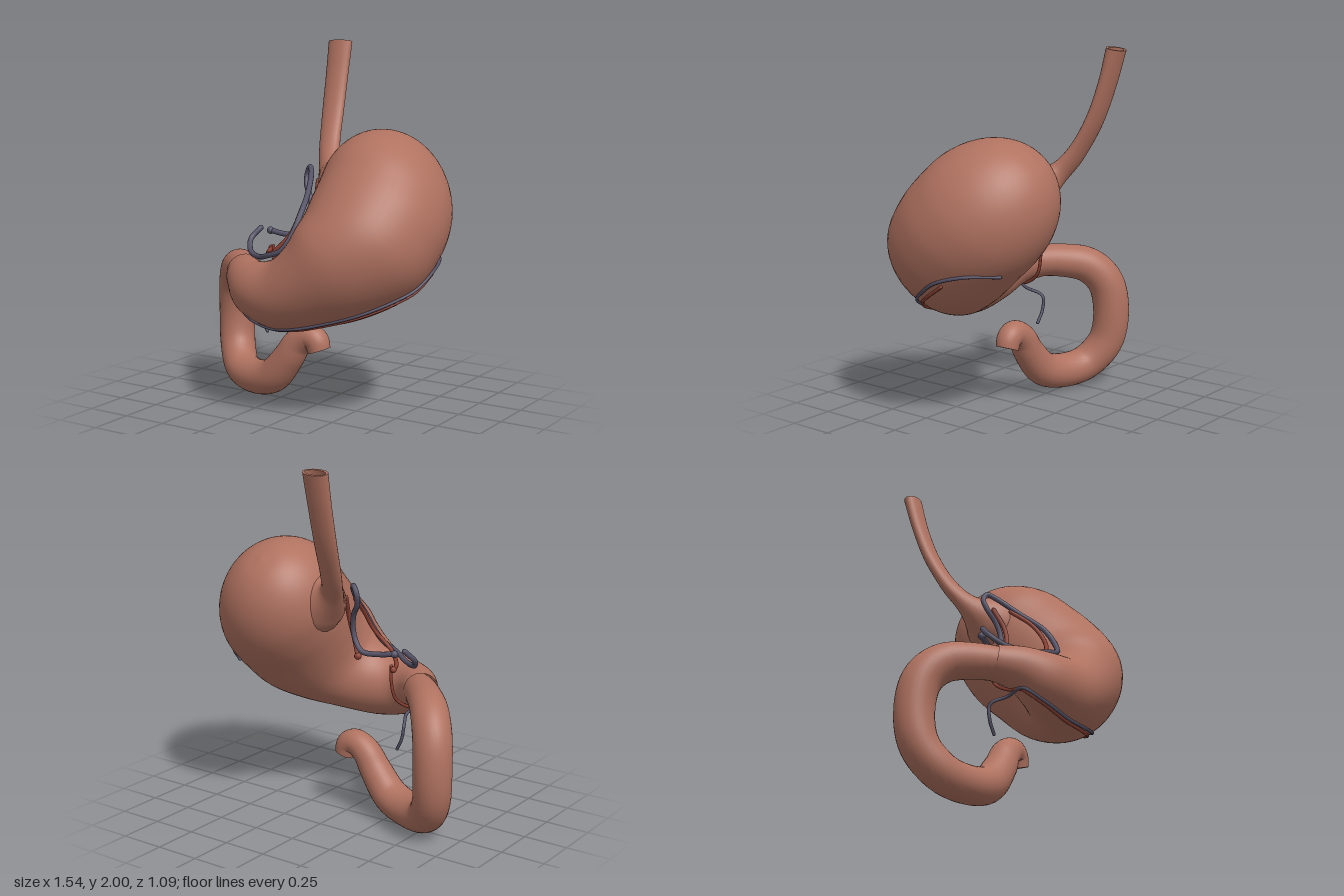
import * as THREE from 'three';

const V = (x, y, z) => new THREE.Vector3(x, y, z);
const curve = pts => new THREE.CatmullRomCurve3(pts, false, 'catmullrom', 0.5);

// Tube with elliptical sections square to its path: rows are [x, y, z, radiusA, radiusB]
function makeLoft(rows) {
  const path = curve(rows.map(r => V(r[0], r[1], r[2])));
  const radii = curve(rows.map(r => V(r[3], r[4] ?? r[3], 0)));
  const last = rows.length - 1, N = V(0, 0, 1);
  const at = (u, phi, grow = 0) => {
    const t = u / last, T = path.getTangent(t), r = radii.getPoint(t);
    const b = N.clone().addScaledVector(T, -N.dot(T)).normalize();
    const a = b.clone().cross(T);
    return path.getPoint(t)
      .addScaledVector(a, Math.cos(phi) * (r.x + grow))
      .addScaledVector(b, Math.sin(phi) * (r.y + grow));
  };
  return { at, last };
}

// Fan of sections between the lesser and greater curvature of a tilted body:
// rows are [lesserX, lesserS, greaterX, greaterS, n, halfThickness, tilt]
function makeFan(rows) {
  const tilted = (x, s, n) => V(x, 0.64 * n - 0.77 * s, 0.64 * s + 0.77 * n);
  const centre = curve(rows.map(([lx, ls, gx, gs, n]) => tilted((lx + gx) / 2, (ls + gs) / 2, n)));
  const A = curve(rows.map(([lx, ls, gx, gs]) => tilted((gx - lx) / 2, (gs - ls) / 2, 0)));
  const B = curve(rows.map(([, , , , , rb, k = 0]) => tilted(-0.8 * k * rb, -0.6 * k * rb, rb)));
  const last = rows.length - 1;
  const at = (u, phi, grow = 0) => {
    const t = u / last;
    return centre.getPoint(t)
      .addScaledVector(A.getPoint(t), Math.cos(phi) * (1 + grow))
      .addScaledVector(B.getPoint(t), Math.sin(phi) * (1 + grow));
  };
  return { at, last };
}

function loftGeometry(loft, sides, stepsPerRow) {
  const rings = loft.last * stepsPerRow, pos = [], idx = [];
  for (let i = 0; i <= rings; i++) {
    for (let j = 0; j < sides; j++) pos.push(...loft.at(i / stepsPerRow, j / sides * Math.PI * 2).toArray());
  }
  for (let i = 0; i < rings; i++) {
    for (let j = 0; j < sides; j++) {
      const k = (j + 1) % sides, a = i * sides + j, b = i * sides + k;
      idx.push(a, b, b + sides, a, b + sides, a + sides);
    }
  }
  const g = new THREE.BufferGeometry();
  g.setAttribute('position', new THREE.Float32BufferAttribute(pos, 3));
  g.setIndex(idx);
  g.computeVertexNormals();
  return g;
}

export function createModel() {
  const model = new THREE.Group();
  const mat = (name, color, side = THREE.FrontSide) => {
    const m = new THREE.MeshStandardMaterial({ color, side });
    m.name = name;
    return m;
  };
  const tissue = mat('tissue', 0xb07260, THREE.DoubleSide);
  const veinBlue = mat('veinBlue', 0x555266);
  const arteryRed = mat('arteryRed', 0x8a4032);
  const add = (name, geometry, material, parent = model) => {
    const m = new THREE.Mesh(geometry, material);
    m.name = name;
    parent.add(m);
    return m;
  };

  // Stomach: rounded fundus, then sections fanning round to the pylorus
  const body = [];
  for (let i = 0; i <= 5; i++) {
    const c = Math.cos(i * Math.PI / 10), r = Math.sin(i * Math.PI / 10);
    const x = 0.39 - 0.065 * c, s = -0.9 - 0.44 * c;
    body.push([x - 0.37 * r, s, x + 0.37 * r, s, 0.69 - 0.01 * c, 0.378 * r]);
  }
  body.push(
    [0.025, -0.78, 0.765, -0.72, 0.705, 0.376],
    [0.03, -0.69, 0.70, -0.49, 0.715, 0.362],
    [0.025, -0.615, 0.50, -0.30, 0.727, 0.322],
    [0.005, -0.56, 0.27, -0.19, 0.715, 0.26],
    [-0.055, -0.505, 0.0, -0.127, 0.693, 0.197],
    [-0.146, -0.475, -0.24, -0.19, 0.68, 0.155, 0.1],
    [-0.247, -0.505, -0.373, -0.315, 0.645, 0.11, 0.35],
    [-0.338, -0.56, -0.462, -0.41, 0.58, 0.086, 0.45],
  );
  const stomach = makeFan(body);
  add('stomach', loftGeometry(stomach, 48, 5), tissue);

  // Oesophagus: flattened hollow tube flaring into the stomach
  const gullet = makeLoft([
    [-0.172, 1.99, -0.505, 0.075, 0.042],
    [-0.164, 1.8, -0.455, 0.071, 0.038],
    [-0.146, 1.6, -0.385, 0.069, 0.038],
    [-0.108, 1.42, -0.29, 0.066, 0.042],
    [-0.045, 1.305, -0.2, 0.075, 0.062],
    [0.06, 1.245, -0.14, 0.155, 0.145],
    [0.18, 1.2, -0.105, 0.21, 0.2],
  ]);
  const wall = -0.013;
  add('oesophagus', loftGeometry(gullet, 24, 6), tissue);
  add('oesophagusLining', loftGeometry({ at: (u, phi) => gullet.at(u, phi, wall), last: 2 }, 24, 6), tissue);
  add('oesophagusRim', loftGeometry({ at: (u, phi) => gullet.at(0, phi, wall * u), last: 1 }, 24, 1), tissue);

  // Duodenum: C-shaped loop ending in a flat cut face
  const loop = makeLoft([
    [-0.35, 0.735, 0.185, 0.09],
    [-0.45, 0.74, 0.08, 0.094],
    [-0.57, 0.71, -0.05, 0.102],
    [-0.645, 0.6, -0.135, 0.105],
    [-0.665, 0.42, -0.16, 0.104],
    [-0.645, 0.25, -0.135, 0.102],
    [-0.56, 0.13, -0.06, 0.1],
    [-0.42, 0.102, 0.0, 0.099],
    [-0.27, 0.14, 0.04, 0.098],
    [-0.16, 0.26, 0.055, 0.088],
    [-0.1, 0.35, 0.055, 0.08],
    [-0.03, 0.397, 0.054, 0.073],
    [0.022, 0.38, 0.053, 0.07],
    [0.042, 0.325, 0.052, 0.064],
  ]);
  add('duodenum', loftGeometry(loop, 28, 6), tissue);
  add('duodenumEnd', loftGeometry({ at: (u, phi) => loop.at(loop.last, phi, -0.0639 * u), last: 1 }, 28, 1), tissue);

  // Vessels: round tubes with rounded ends
  const vessel = (name, points, radius, material, startBlob = 1) => {
    const g = new THREE.Group();
    g.name = name;
    const pts = points.map(p => Array.isArray(p) ? V(...p) : p);
    add(name + 'Tube', new THREE.TubeGeometry(new THREE.CatmullRomCurve3(pts), pts.length * 7, radius, 10), material, g);
    [[pts[0], startBlob], [pts[pts.length - 1], 1]].forEach(([p, k]) =>
      add(name + 'Tip', new THREE.SphereGeometry(radius * k, 12, 8), material, g).position.copy(p));
    model.add(g);
  };

  // Lesser curvature vessels
  vessel('gastricVein', [
    [-0.30, 0.96, 0.02], [-0.20, 0.945, 0.01], [-0.11, 0.95, -0.01], [-0.06, 1.0, 0],
    [-0.042, 1.07, 0], [-0.06, 1.15, -0.02], [-0.105, 1.22, -0.05], [-0.115, 1.28, -0.07],
    [-0.09, 1.32, -0.06], [-0.055, 1.3, -0.02], [0, 1.2, 0.1], [0.03, 1.1, 0.22],
    [0.022, 1.0, 0.29], [-0.02, 0.92, 0.325], [-0.12, 0.88, 0.31], [-0.22, 0.855, 0.25],
    [-0.33, 0.865, 0.17], [-0.375, 0.92, 0.1], [-0.345, 0.975, 0.05],
  ], 0.015, veinBlue, 1.4);
  vessel('gastricArtery', [
    [-0.28, 0.865, 0.04], [-0.245, 0.86, 0.12], [-0.18, 0.87, 0.21], [-0.1, 0.895, 0.285],
    [-0.01, 1.0, 0.25], [0.005, 1.12, 0.17], [-0.02, 1.22, 0.05],
  ], 0.012, arteryRed, 1.5);
  vessel('cardiacArtery', [
    [-0.06, 0.91, 0.02], [-0.03, 1.0, 0.03], [-0.01, 1.12, 0.01], [-0.03, 1.25, -0.05],
  ], 0.013, arteryRed, 1.6);

  // Greater curvature vessels hugging the stomach wall: [row, angle in degrees]
  const onWall = (track, shift) => track.map(([u, deg]) =>
    stomach.at(u, THREE.MathUtils.degToRad(deg + shift), 0.012));
  const track = [[5.35, -70], [5.75, -45], [6.4, -29], [7.0, -23], [7.5, -19], [8.2, -16], [9, -15], [9.6, -15], [10.2, -18], [11, -22], [11.8, -32]];
  vessel('greaterVein', [
    ...onWall(track, 0),
    [-0.29, 0.59, 0.17], [-0.325, 0.55, 0.085], [-0.315, 0.47, 0.078], [-0.28, 0.4, 0.085],
  ], 0.009, veinBlue);
  vessel('greaterArtery', [
    ...onWall(track.slice(2), -6),
    [-0.3, 0.62, 0.18], [-0.27, 0.69, 0.08], [-0.26, 0.8, 0.05], [-0.26, 0.88, 0.05],
  ], 0.009, arteryRed);

  return model;
}
